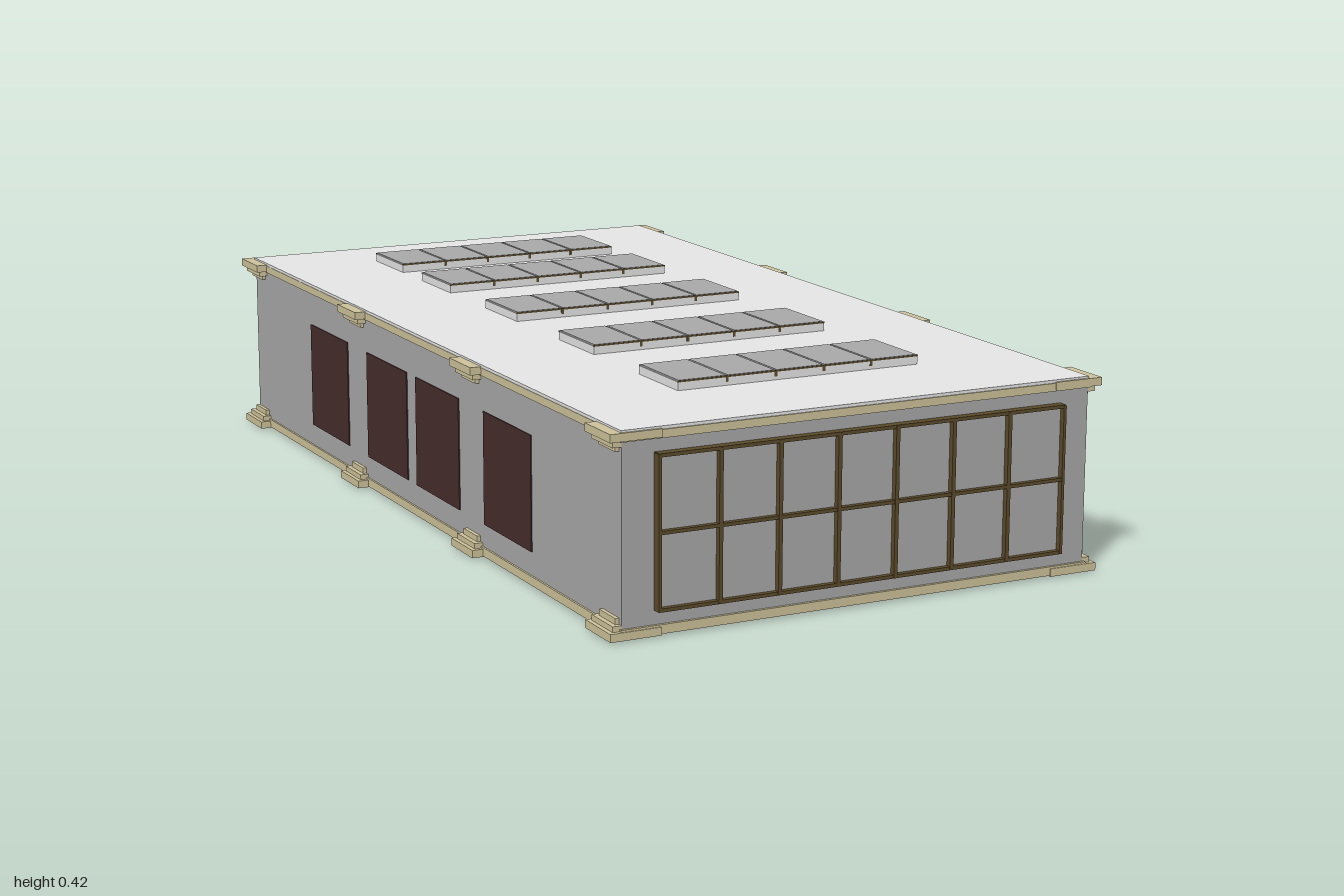
import * as THREE from 'three';

const mat = (name, color, side = THREE.FrontSide) => {
  const m = new THREE.MeshStandardMaterial({ color, side });
  m.name = name;
  return m;
};

export function createModel() {
  const white = mat('white roof', 0xf8f8f8);
  const grey = mat('grey wall', 0xaaaaaa);
  const stone = mat('beige stone', 0xcfc49c);
  const bronze = mat('bronze frame', 0x5c4b2b);
  const maroon = mat('dark maroon', 0x452d2c);
  const darkWood = mat('door rails', 0x33201f);
  const wood = mat('bench wood', 0xa8845c);
  const black = mat('black metal', 0x1c1c1c);
  const green = mat('leaf green', 0x55752a, THREE.DoubleSide);

  const root = new THREE.Group();
  root.name = 'galleryHall';
  const group = (name, parent = root) => {
    const g = new THREE.Group();
    g.name = name;
    parent.add(g);
    return g;
  };
  const add = (name, geo, m, parent = root) => {
    const mesh = new THREE.Mesh(geo, m);
    mesh.name = name;
    parent.add(mesh);
    return mesh;
  };
  // Box given by its minimum and maximum on each axis
  const box = (name, m, x0, x1, y0, y1, z0, z1, parent = root) => {
    const b = add(name, new THREE.BoxGeometry(x1 - x0, y1 - y0, z1 - z0), m, parent);
    b.position.set((x0 + x1) / 2, (y0 + y1) / 2, (z0 + z1) / 2);
    return b;
  };
  const rect = (path, x0, x1, y0, y1) =>
    path.moveTo(x0, y0).lineTo(x1, y0).lineTo(x1, y1).lineTo(x0, y1).closePath();
  const extrude = (shape, depth) =>
    new THREE.ExtrudeGeometry(shape, { depth, bevelEnabled: false, curveSegments: 20 });

  // Walls, open underneath
  const walls = group('walls');
  for (const s of [-1, 1]) {
    const xs = [s * 0.49, s * 0.507].sort((a, b) => a - b);
    box('sideWall', grey, ...xs, 0.01, 0.385, -0.967, 0.978, walls);
  }
  box('frontWall', grey, -0.49, 0.49, 0.01, 0.385, 0.963, 0.978, walls);
  box('backWall', grey, -0.49, 0.49, 0.01, 0.385, -0.967, -0.952, walls);

  // Skirting and cornice strips
  const trim = group('trim');
  for (const [y0, y1] of [[0.006, 0.024], [0.377, 0.393]]) {
    for (const s of [-1, 1]) {
      const xs = [s * 0.475, s * 0.511].sort((a, b) => a - b);
      box('sideTrim', stone, ...xs, y0, y1, -0.973, 0.984, trim);
    }
    box('frontTrim', stone, -0.5, 0.5, y0, y1, 0.948, 0.984, trim);
    box('backTrim', stone, -0.5, 0.5, y0, y1, -0.973, -0.937, trim);
  }

  // Pilasters with stepped bases and capitals
  for (const s of [-1, 1]) {
    for (const z of [0.933, 0.305, -0.315, -0.938]) {
      const p = group('pilaster');
      p.position.set(s * 0.481, 0, z);
      const tier = (name, w, y0, y1) => box(name, stone, -w, w, y0, y1, -w, w, p);
      tier('plinth', 0.053, 0.004, 0.02);
      tier('baseStep', 0.044, 0.02, 0.031);
      tier('baseNeck', 0.034, 0.031, 0.043);
      tier('capitalNeck', 0.034, 0.357, 0.367);
      tier('capitalStep', 0.044, 0.367, 0.379);
      tier('capital', 0.053, 0.379, 0.395);
      const xs = [-s * 0.028, s * 0.018].sort((a, b) => a - b);
      const zc = Math.abs(z) > 0.9 ? Math.sign(z) * -0.004 : 0;
      box('shaft', stone, ...xs, 0.04, 0.36, zc - 0.024, zc + 0.024, p);
      for (const k of [-0.016, 0, 0.016])
        box('shaftRib', stone, -s * 0.031 - 0.003, -s * 0.031 + 0.003, 0.05, 0.35, zc + k - 0.005, zc + k + 0.005, p);
    }
  }

  // Roof slab with skylight openings (shape y runs along -z)
  const skylights = [-0.717, -0.44, -0.083, 0.29, 0.657];
  const roofShape = new THREE.Shape();
  rect(roofShape, -0.51, 0.507, -0.981, 0.97);
  for (const z of skylights) {
    const hole = new THREE.Path();
    rect(hole, -0.257, 0.253, -z - 0.073, -z + 0.073);
    roofShape.holes.push(hole);
  }
  const roof = add('roof', extrude(roofShape, 0.014), white);
  roof.rotation.x = -Math.PI / 2;
  roof.position.y = 0.385;

  // Skylights: white curb, bronze bars and five panes
  for (const z of skylights) {
    const g = group('skylight');
    g.position.set(-0.002, 0.398, z);
    const ring = new THREE.Shape();
    rect(ring, -0.267, 0.267, -0.082, 0.082);
    const hole = new THREE.Path();
    rect(hole, -0.255, 0.255, -0.073, 0.073);
    ring.holes.push(hole);
    const curb = add('curb', extrude(ring, 0.018), white, g);
    curb.rotation.x = -Math.PI / 2;
    for (let i = 0; i < 5; i++) {
      const x = (i - 2) * 0.107;
      box('pane', grey, x - 0.051, x + 0.051, 0.017, 0.021, -0.081, 0.081, g);
      if (i) box('bar', bronze, x - 0.0565, x - 0.0505, 0.008, 0.0185, -0.0825, 0.0825, g);
    }
    for (const s of [-1, 1]) box('edgeBar', bronze, -0.2675, 0.2675, 0.017, 0.02, s * 0.0815 - 0.001, s * 0.0815 + 0.001, g);
  }

  // Front window grid, seven columns by two rows
  const win = group('frontWindow');
  box('glass', grey, -0.438, 0.442, 0.056, 0.348, 0.955, 0.986, win);
  for (let i = 0; i <= 7; i++) {
    const x = -0.438 + (i * 0.88) / 7;
    const w = i % 7 ? 0.004 : 0.003;
    box('mullion', bronze, x - w, x + w, 0.052, 0.35, 0.948, 0.998, win);
  }
  for (const y of [0.055, 0.202, 0.348]) box('rail', bronze, -0.44, 0.444, y - 0.0035, y + 0.0035, 0.949, 0.997, win);

  // Dark panels on the long sides and beside the door
  const panels = group('wallPanels');
  for (const s of [-1, 1])
    for (const z of [-0.49, -0.15, 0.125, 0.475]) {
      const xs = [s * 0.505, s * 0.5095].sort((a, b) => a - b);
      box('sidePanel', maroon, ...xs, 0.072, 0.305, z - 0.113, z + 0.113, panels);
    }
  for (const x of [-0.293, 0.288]) {
    box('backPanel', maroon, x - 0.088, x + 0.088, 0.075, 0.305, -0.972, -0.965, panels);
  }

  // Arched double door at the back
  const door = group('door');
  door.position.set(-0.004, 0, -1);
  const arch = (path, r, cy) => {
    path.moveTo(-r, 0.004);
    path.lineTo(r, 0.004);
    path.lineTo(r, cy);
    path.absarc(0, cy, r, 0, Math.PI, false);
    path.lineTo(-r, 0.004);
    return path;
  };
  const surround = arch(new THREE.Shape(), 0.14, 0.19);
  surround.holes.push(arch(new THREE.Path(), 0.127, 0.19));
  add('doorSurround', extrude(surround, 0.055), grey, door);
  const slab = add('doorSlab', extrude(arch(new THREE.Shape(), 0.128, 0.19), 0.04), darkWood, door);
  slab.position.z = 0.008;
  box('doorLeafGap', black, -0.002, 0.002, 0.005, 0.315, 0.002, 0.008, door);
  box('transom', darkWood, -0.127, 0.127, 0.186, 0.2, 0.002, 0.009, door);
  for (const s of [-1, 1]) {
    for (const [y0, y1] of [[0.02, 0.088], [0.102, 0.178]]) {
      const xs = [s * 0.016, s * 0.112].sort((a, b) => a - b);
      box('doorPanel', maroon, ...xs, y0, y1, 0.002, 0.009, door);
    }
    const q = new THREE.Shape();
    q.moveTo(s * 0.016, 0.21);
    q.lineTo(s * 0.106, 0.21);
    q.quadraticCurveTo(s * 0.094, 0.275, s * 0.016, 0.3);
    q.closePath();
    const upper = add('upperDoorPanel', extrude(q, 0.007), maroon, door);
    upper.position.z = 0.002;
    const knob = add('doorKnob', new THREE.SphereGeometry(0.005, 10, 8), bronze, door);
    knob.position.set(s * 0.01, 0.145, 0.003);
  }

  // Bent wood benches in two rows, long axis along z
  const b = new THREE.Shape();
  b.moveTo(-0.125, 0).lineTo(-0.117, 0).lineTo(-0.1, 0.048).lineTo(0.1, 0.048).lineTo(0.117, 0);
  b.lineTo(0.125, 0).lineTo(0.112, 0.045).quadraticCurveTo(0.108, 0.056, 0.096, 0.056);
  b.lineTo(-0.096, 0.056).quadraticCurveTo(-0.108, 0.056, -0.112, 0.045).closePath();
  const benchGeo = extrude(b, 0.066);
  benchGeo.translate(0, 0, -0.033);
  benchGeo.rotateY(Math.PI / 2);
  for (const x of [-0.17, 0.16])
    for (const z of [0.52, 0, -0.54]) add('bench', benchGeo, wood).position.set(x, 0.001, z);

  // Ceiling light tracks with spots
  for (const x of [-0.3, 0.3])
    for (const z of [0.48, -0.12, -0.66]) {
      const t = group('lightTrack');
      t.position.set(x, 0.345, z);
      box('rail', black, -0.003, 0.003, -0.003, 0.003, -0.17, 0.17, t);
      for (const k of [-0.13, 0.13]) box('hanger', black, -0.002, 0.002, 0, 0.042, k - 0.002, k + 0.002, t);
      for (const k of [-0.1, 0, 0.1]) {
        const spot = add('spot', new THREE.CylinderGeometry(0.006, 0.009, 0.022, 10), black, t);
        spot.position.set(0, -0.014, k);
        spot.rotation.z = Math.sign(x) * 0.5;
      }
    }

  // Potted plants beside the long walls
  const leafGeo = new THREE.PlaneGeometry(1, 1, 2, 5);
  const pos = leafGeo.attributes.position;
  for (let i = 0; i < pos.count; i++) {
    const t = pos.getY(i) + 0.5;
    const w = pos.getX(i) * 0.02 * Math.sin(Math.PI * (0.1 + 0.9 * t));
    pos.setXYZ(i, w, 0.075 * t - 0.025 * t * t + Math.abs(w) * 0.3, 0.06 * t * t);
  }
  leafGeo.computeVertexNormals();
  for (const [x, z] of [[0.465, 0.73], [0.465, -0.71], [-0.452, 0.71], [-0.452, -0.71]]) {
    const p = group('plant');
    p.position.set(x, 0, z);
    add('pot', new THREE.CylinderGeometry(0.026, 0.017, 0.11, 8), white, p).position.y = 0.06;
    for (let i = 0; i < 14; i++) {
      const leaf = add('leaf', leafGeo, green, p);
      leaf.position.y = 0.112;
      leaf.rotation.y = i * 2.4;
      leaf.scale.set(1, 0.8 + 0.06 * (i % 7), 1.05 - 0.12 * (i % 5));
    }
  }
  return root;
}
